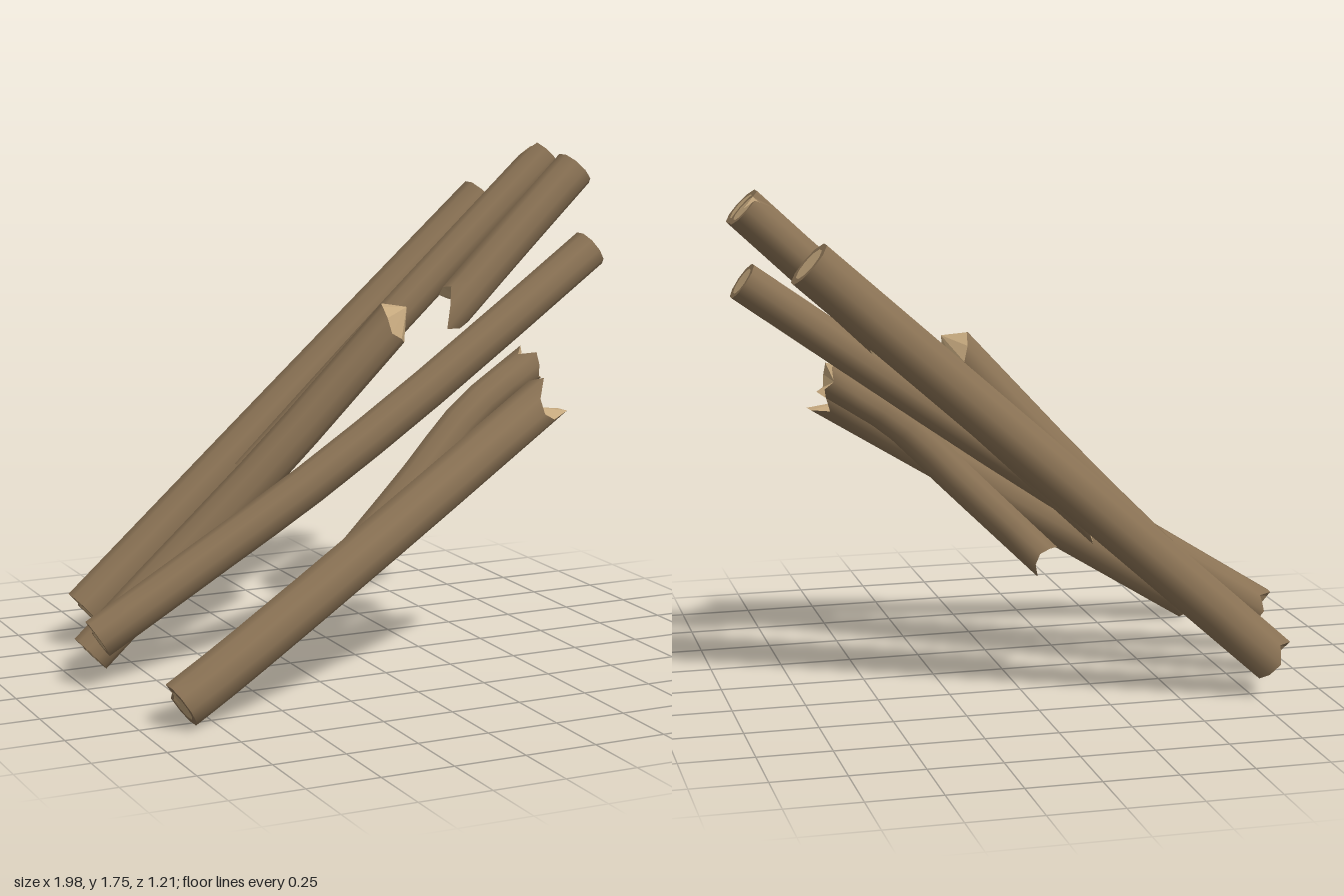
import * as THREE from 'three';

const SIDES = 10;
const SEGMENTS = 8;

const bark = new THREE.MeshStandardMaterial({ color: 0x8b7355, side: THREE.DoubleSide });
bark.name = 'bark';
const wood = new THREE.MeshStandardMaterial({ color: 0xc4a77d, side: THREE.DoubleSide });
wood.name = 'bare wood';

// Flat-faced mesh from a list of triangle corners
function facets(name, corners, material) {
  const geometry = new THREE.BufferGeometry().setFromPoints(corners);
  geometry.computeVertexNormals();
  const mesh = new THREE.Mesh(geometry, material);
  mesh.name = name;
  return mesh;
}

// Ring frame: angle 0 faces front, a quarter turn faces up
function frameAt(curve, t) {
  const tangent = curve.getTangent(t);
  const side = new THREE.Vector3().crossVectors(tangent, new THREE.Vector3(0, 1, 0)).normalize();
  const up = new THREE.Vector3().crossVectors(side, tangent);
  return { centre: curve.getPoint(t), tangent, side, up };
}

function ringPoint(frame, radius, i, along) {
  const a = (i % SIDES) / SIDES * Math.PI * 2;
  return frame.centre.clone()
    .addScaledVector(frame.side, radius * Math.cos(a))
    .addScaledVector(frame.up, radius * Math.sin(a))
    .addScaledVector(frame.tangent, along);
}

// End of a stick: sawn (bark rim around a wood disc) or broken (jagged wood)
function addEnd(group, name, frame, radius, end, sign) {
  const rim = [], face = [];
  const inner = end.sawn ? 0.72 : 1;
  const centre = frame.centre.clone().addScaledVector(frame.tangent, sign * (end.apex || 0));
  const push = (list, a, b, c) => (sign > 0 ? list.push(a, c, b) : list.push(a, b, c));
  for (let i = 0; i < SIDES; i++) {
    const k = (i + 1) % SIDES;
    const e = end.offsets;
    const o1 = ringPoint(frame, radius, i, sign * e[i]);
    const o2 = ringPoint(frame, radius, k, sign * e[k]);
    if (end.sawn) {
      const n1 = ringPoint(frame, radius * inner, i, sign * e[i] * 0.5);
      const n2 = ringPoint(frame, radius * inner, k, sign * e[k] * 0.5);
      push(rim, n1, o1, o2);
      push(rim, n1, o2, n2);
      push(face, centre, n1, n2);
    } else {
      push(face, centre, o1, o2);
    }
  }
  if (rim.length) group.add(facets(name + 'Rim', rim, bark));
  group.add(facets(name + 'Wood', face, wood));
}

function makeStick(name, { path, radius, start, end }) {
  const curve = new THREE.CatmullRomCurve3(path.map((p) => new THREE.Vector3(...p)));
  const group = new THREE.Group();
  group.name = name;
  const points = [], index = [];
  for (let j = 0; j <= SEGMENTS; j++) {
    const frame = frameAt(curve, j / SEGMENTS);
    for (let i = 0; i < SIDES; i++) {
      const along = j === 0 ? -start.offsets[i] : j === SEGMENTS ? end.offsets[i] : 0;
      points.push(ringPoint(frame, radius, i, along));
      if (j < SEGMENTS) {
        const a = j * SIDES + i, b = j * SIDES + (i + 1) % SIDES;
        index.push(a, a + SIDES, b, b, a + SIDES, b + SIDES);
      }
    }
  }
  const geometry = new THREE.BufferGeometry().setFromPoints(points);
  geometry.setIndex(index);
  geometry.computeVertexNormals();
  const side = new THREE.Mesh(geometry, bark);
  side.name = name + 'Bark';
  group.add(side);
  addEnd(group, name + 'LowerEnd', frameAt(curve, 0), radius, start, -1);
  addEnd(group, name + 'UpperEnd', frameAt(curve, 1), radius, end, 1);
  return group;
}

// Offsets run front, up, back, down around the stick
const sawn = (offsets = new Array(SIDES).fill(0)) => ({ sawn: true, offsets });
const broken = (apex, offsets) => ({ apex, offsets });
const chipped = () => sawn([0, 0, 0, 0, -0.04, 0, 0, 0, 0, 0]);

const STICKS = {
  rearLongStick: {
    path: [[-0.82, 0.145, -0.52], [-0.03, 0.85, -0.52], [0.765, 1.555, -0.52]],
    radius: 0.086, start: chipped(), end: sawn(),
  },
  rearSplitStick: {
    path: [[-0.22, 0.64, -0.365], [0.3, 1.13, -0.365], [0.945, 1.72, -0.365]],
    radius: 0.069,
    start: broken(-0.02, [-0.03, 0, 0.04, 0.04, 0, -0.03, 0, 0.06, 0.06, 0]),
    end: sawn([0, 0, 0, -0.07, 0, 0, 0, 0, 0, 0]),
  },
  shortStick: {
    path: [[0.42, 1.23, -0.065], [0.65, 1.45, -0.075], [0.91, 1.695, -0.085]],
    radius: 0.075,
    start: broken(-0.03, [0.1, 0.03, -0.03, -0.02, 0, -0.02, -0.05, -0.02, 0.01, 0.06]),
    end: sawn(),
  },
  crookedStick: {
    path: [[-0.955, 0.185, -0.012], [-0.53, 0.45, 0.02], [-0.2, 0.66, 0.05], [0.25, 0.97, 0.073], [0.89, 1.425, 0.067]],
    radius: 0.071, start: chipped(), end: sawn(),
  },
  pointedStick: {
    path: [[-0.905, 0.07, -0.232], [-0.7, 0.26, -0.228], [-0.25, 0.71, -0.155], [0.16, 1.155, -0.085]],
    radius: 0.076,
    start: chipped(),
    end: broken(0.11, [0, 0.03, 0.05, 0.06, 0.03, 0, -0.02, 0, 0.01, 0.01]),
  },
  bentStick: {
    path: [[-0.2, 0.365, 0.252], [0.1, 0.66, 0.235], [0.33, 0.89, 0.212], [0.56, 1.045, 0.205]],
    radius: 0.066,
    start: broken(-0.03, [-0.02, 0, 0.04, 0.03, 0, -0.02, 0, 0.05, 0.06, 0]),
    end: broken(-0.01, [0.02, 0.04, -0.01, 0.03, 0.04, 0.01, 0.02, -0.01, 0.02, 0]),
  },
  frontStick: {
    path: [[-0.862, 0.088, 0.517], [-0.68, 0.2, 0.512], [-0.03, 0.605, 0.452], [0.53, 0.955, 0.385]],
    radius: 0.083,
    start: chipped(),
    end: broken(-0.04, [-0.06, -0.04, 0.03, 0, 0.03, 0.06, 0, 0.05, 0.05, -0.03]),
  },
};

export function createModel() {
  const model = new THREE.Group();
  model.name = 'stickBundle';
  for (const [name, spec] of Object.entries(STICKS)) model.add(makeStick(name, spec));
  return model;
}
